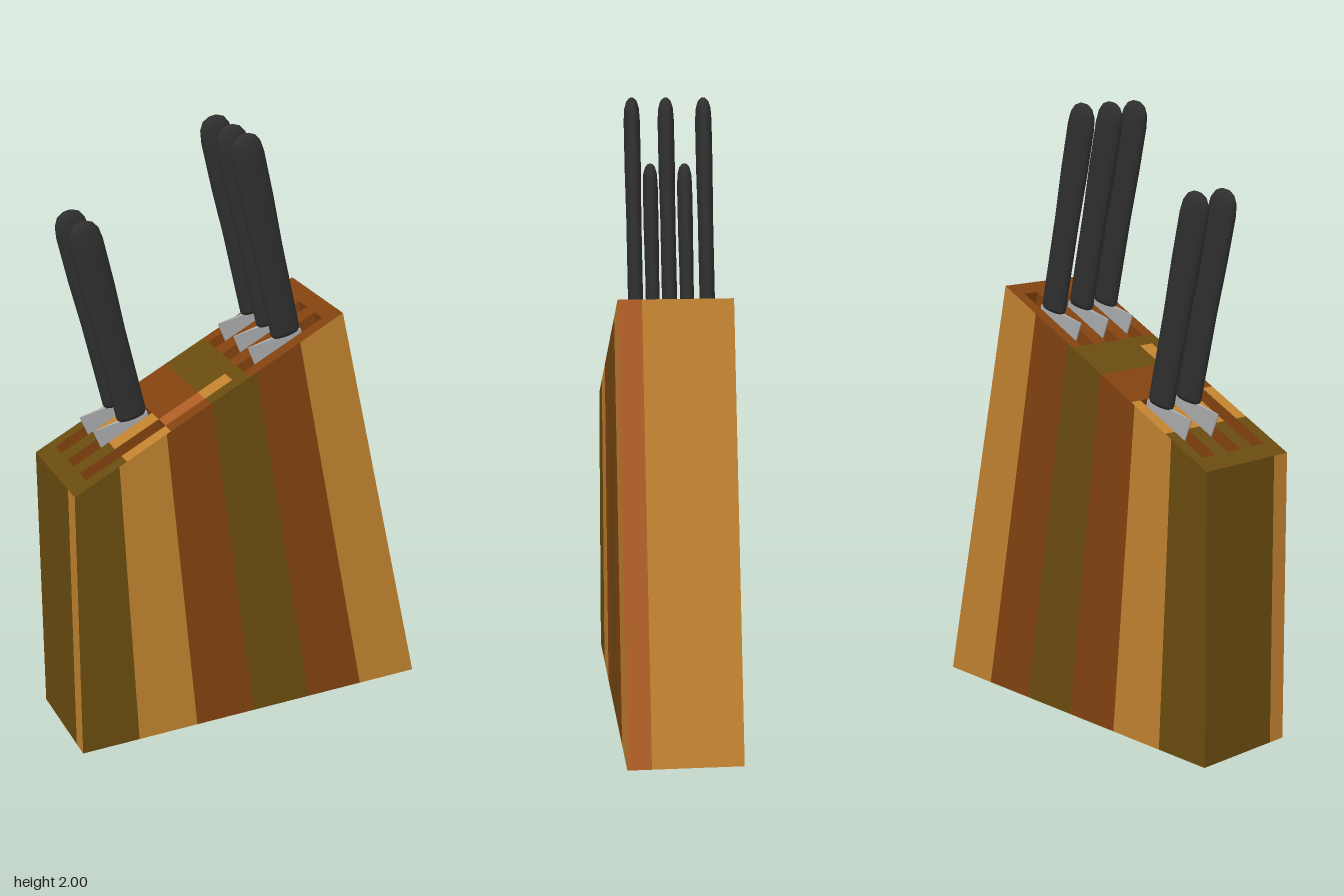
import * as THREE from 'three';

const mat = (name, color) => Object.assign(new THREE.MeshStandardMaterial({ color }), { name });

export function createModel() {
  const tan = mat('tan wood', 0xc1822f);
  const olive = mat('olive wood', 0x694b0f);
  const brown = mat('brown wood', 0x82420f);
  const red = mat('reddish wood', 0xae5d26);
  const black = mat('black handle', 0x2f2f2f);
  const steel = mat('steel', 0xa9abad);

  const model = new THREE.Group();
  model.name = 'knifeBlock';

  // Builds a named group of flat quads, one mesh per colour
  function panels(name, cells) {
    const group = new THREE.Group();
    group.name = name;
    const byMat = new Map();
    for (const [m, a, b, c, d] of cells) {
      if (!byMat.has(m)) byMat.set(m, []);
      byMat.get(m).push(...a, ...b, ...c, ...a, ...c, ...d);
    }
    for (const [m, pos] of byMat) {
      const g = new THREE.BufferGeometry();
      g.setAttribute('position', new THREE.Float32BufferAttribute(pos, 3));
      g.computeVertexNormals();
      const mesh = new THREE.Mesh(g, m);
      mesh.name = `${name} ${m.name}`;
      group.add(mesh);
    }
    model.add(group);
  }

  // Block outline
  const Z = 0.18;
  const topY = x => 0.94 + (x + 0.615) * 0.5;
  const top = (x, z) => [x, topY(x), z];
  const topQuad = (x0, x1, z0, z1) => [top(x0, z1), top(x1, z1), top(x1, z0), top(x0, z0)];

  // Fanned stripes on the front and back, straight ones underneath
  const low = [-0.62, -0.42, -0.21, 0, 0.21, 0.41, 0.62];
  const high = [-0.615, -0.465, -0.305, -0.15, 0.003, 0.155, 0.305];
  const woods = [olive, tan, brown, olive, brown, tan];
  const front = [], back = [], base = [];
  woods.forEach((m, i) => {
    const face = z => [[low[i], 0, z], [low[i + 1], 0, z], top(high[i + 1], z), top(high[i], z)];
    front.push([m, ...face(Z)]);
    back.push([m, ...face(-Z).reverse()]);
    base.push([i === 5 ? brown : m, [low[i], 0, -Z], [low[i + 1], 0, -Z], [low[i + 1], 0, Z], [low[i], 0, Z]]);
  });
  panels('blockFront', front);
  panels('blockBack', back);
  panels('blockBase', base);

  // Ends, each with a strip of another wood along the front edge
  const end = (xb, xt, z0, z1) => [[xb, 0, z1], [xb, 0, z0], top(xt, z0), top(xt, z1)];
  panels('blockLeftEnd', [[tan, ...end(0.62, 0.305, -Z, 0.105)], [red, ...end(0.62, 0.305, 0.105, Z)]]);
  panels('blockRightEnd', [
    [olive, ...end(-0.62, -0.615, -Z, 0.12).reverse()],
    [tan, ...end(-0.62, -0.615, 0.12, Z).reverse()],
  ]);

  // Sloping top, left open where the slots are
  const slotX = [[-0.56, -0.29], [-0.02, 0.255]];
  const slotZ = [[-0.14, -0.085], [-0.03, 0.025], [0.08, 0.135]];
  const xs = [-0.615, -0.56, -0.44, -0.29, -0.155, -0.06, -0.02, 0.255, 0.305];
  const topWoods = [olive, olive, tan, brown, olive, olive, brown, brown];
  const zs = [-Z, ...slotZ.flat(), Z];
  const within = (v, ranges) => ranges.some(([a, b]) => v > a && v < b);
  const topCells = [];
  for (let i = 0; i < xs.length - 1; i++) {
    for (let j = 0; j < zs.length - 1; j++) {
      if (within((xs[i] + xs[i + 1]) / 2, slotX) && within((zs[j] + zs[j + 1]) / 2, slotZ)) continue;
      let m = topWoods[i];
      if (j === 5 && i === 3) m = red;
      if (j === 5 && i === 4) m = tan;
      topCells.push([m, ...topQuad(xs[i], xs[i + 1], zs[j], zs[j + 1])]);
    }
  }
  panels('blockTop', topCells);

  // Slots sunk along the lean of the knives
  const sink = p => [p[0] + 0.197, p[1] - 0.875, p[2]];
  const slots = [];
  for (const [x0, x1] of slotX) {
    for (const [z0, z1] of slotZ) {
      const rim = topQuad(x0, x1, z0, z1);
      rim.forEach((p, i) => {
        const q = rim[(i + 1) % 4];
        slots.push([brown, p, q, sink(q), sink(p)]);
      });
      slots.push([red, ...rim.map(sink)]);
    }
  }
  panels('slots', slots);

  // Rounded handle, flattened across its thickness
  const profile = [[0, 0], [0.046, 0], [0.051, 0.012], [0.051, 0.3], [0.055, 0.46], [0.055, 0.61],
    [0.05, 0.648], [0.036, 0.672], [0.018, 0.682], [0, 0.684]];
  const handleGeo = new THREE.LatheGeometry(profile.map(p => new THREE.Vector2(...p)), 16);
  handleGeo.scale(1, 1, 0.47);

  // Blade, thick at the spine and thin at the cutting edge, narrowing to the tip
  const bladeGeo = new THREE.BoxGeometry(0.185, 0.75, 0.024).toNonIndexed();
  const bp = bladeGeo.attributes.position;
  for (let i = 0; i < bp.count; i++) {
    if (bp.getX(i) < 0) {
      bp.setZ(i, bp.getZ(i) * 0.15);
      if (bp.getY(i) < 0) bp.setX(i, 0.03);
    }
  }
  bladeGeo.translate(-0.043, -0.373, 0);
  bladeGeo.computeVertexNormals();

  const knives = [[-0.352, 1.094, -0.112], [-0.352, 1.094, 0.007],
    [0.138, 1.333, -0.118], [0.138, 1.333, 0.002], [0.138, 1.333, 0.11]];
  for (const [x, y, z] of knives) {
    const knife = new THREE.Group();
    knife.name = 'knife';
    const handle = new THREE.Mesh(handleGeo, black);
    handle.name = 'handle';
    const blade = new THREE.Mesh(bladeGeo, steel);
    blade.name = 'blade';
    knife.add(handle, blade);
    knife.position.set(x, y, z);
    knife.rotation.z = 0.221;
    model.add(knife);
  }
  return model;
}
